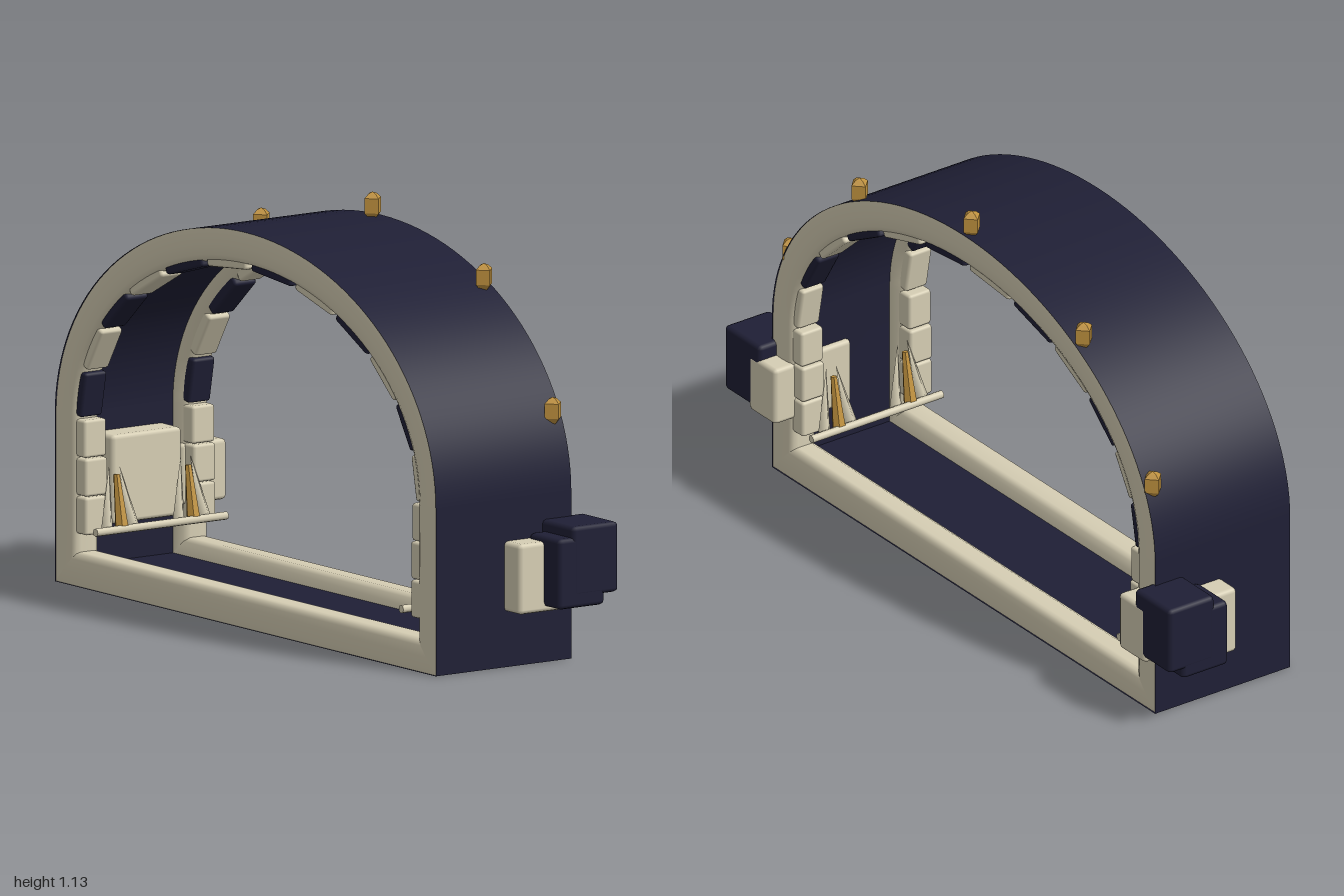
import * as THREE from 'three';
import { RoundedBoxGeometry } from 'three/addons/geometries/RoundedBoxGeometry.js';

const material = (name, color, extra = {}) => {
  const m = new THREE.MeshStandardMaterial({ color, ...extra });
  m.name = name;
  return m;
};

export function createModel() {
  const model = new THREE.Group();
  const navy = material('navy', 0x1f1f35, { side: THREE.DoubleSide });
  const cream = material('cream', 0xd6ceb4, { side: THREE.DoubleSide });
  const gold = material('gold', 0xc0923f, { flatShading: true });

  const FRONT = 0.25, BACK = -0.195, SPRING = 0.45, RX = 0.86, RY = 0.62;

  const add = (name, geometry, mat, parent = model) => {
    const mesh = new THREE.Mesh(geometry, mat);
    mesh.name = name;
    parent.add(mesh);
    return mesh;
  };

  // Gate outline shrunk by o: legs and elliptical arch, or the straight sill
  const archRun = (o) => {
    const pts = [[RX - o, o]];
    for (let i = 0; i <= 64; i++) {
      const t = (i / 64) * Math.PI;
      pts.push([(RX - o) * Math.cos(t), SPRING + (RY - o) * Math.sin(t)]);
    }
    pts.push([-(RX - o), o]);
    return pts;
  };
  const sillRun = (o) => [[-(RX - o), o], [RX - o, o]];

  // Sweeps a section of [inset, z] points along a run of the outline
  const sweep = (section, run) => {
    const rows = section.map(([o, z]) => run(o).map(([x, y]) => [x, y, z]));
    const n = rows[0].length, index = [];
    for (let r = 0; r < rows.length - 1; r++) {
      for (let i = 0; i < n - 1; i++) {
        const a = r * n + i, b = a + n;
        index.push(a, a + 1, b, b, a + 1, b + 1);
      }
    }
    const g = new THREE.BufferGeometry();
    g.setAttribute('position', new THREE.Float32BufferAttribute(rows.flat(2), 3));
    g.setIndex(index);
    g.computeVertexNormals();
    return g;
  };

  // Shell skins and the softly domed trims at both ends
  const trim = [[0.0005, 0.041], [0.015, 0.044], [0.045, 0.045], [0.072, 0.043], [0.086, 0.036],
    [0.09, 0.024], [0.09, -0.02], [0.08, -0.036], [0.045, -0.045]];
  const zMid = [FRONT - 0.045, BACK + 0.045];
  for (const [part, run] of [['Arch', archRun], ['Sill', sillRun]]) {
    add('outer' + part, sweep([[0, BACK], [0, FRONT]], run), navy);
    add('inner' + part, sweep([[0.045, FRONT - 0.09], [0.045, BACK + 0.09]], run), navy);
    add('frontTrim' + part, sweep(trim.map(([o, d]) => [o, zMid[0] + d]), run), cream);
    add('backTrim' + part, sweep(trim.map(([o, d]) => [o, zMid[1] - d]).reverse(), run), cream);
  }

  // Chamfered box given by its extents
  const box = (name, mat, [x0, x1], [y0, y1], [z0, z1], r = 0.012) => {
    const mesh = add(name, new RoundedBoxGeometry(x1 - x0, y1 - y0, z1 - z0, 1, r), mat);
    mesh.position.set((x0 + x1) / 2, (y0 + y1) / 2, (z0 + z1) / 2);
    return mesh;
  };
  const sided = (s, a, b) => (s > 0 ? [a, b] : [-b, -a]);

  // Alternating lining blocks around the inside of each trim
  const COUNT = 12, INSET = 0.082;
  const onArch = (t) => new THREE.Vector2((RX - INSET) * Math.cos(t), SPRING + (RY - INSET) * Math.sin(t));
  for (const z of zMid) {
    for (let i = 0; i < COUNT; i++) {
      const step = Math.PI / COUNT;
      const a = onArch((i + 0.06) * step), b = onArch((i + 0.94) * step);
      const block = add('liningBlock', new RoundedBoxGeometry(a.distanceTo(b), 0.045, 0.072, 1, 0.008),
        i % 2 ? navy : cream);
      block.position.set((a.x + b.x) / 2, (a.y + b.y) / 2, z);
      block.rotation.z = Math.atan2(b.y - a.y, b.x - a.x);
    }
  }

  for (const s of [1, -1]) {
    for (const z of zMid) {
      // Stacked pillar blocks
      for (let i = 0; i < 3; i++) {
        const y = 0.14 + i * 0.104;
        box('pillarBlock', cream, sided(s, i === 2 ? 0.737 : 0.732, 0.81), [y, y + 0.102], [z - 0.037, z + 0.036], 0.008);
      }
      // Gold spike between two cream fins, leaning on the pillar
      const spike = new THREE.Group();
      spike.name = 'spike';
      const core = add('spikeCore', new THREE.CylinderGeometry(0.009, 0.02, 0.15, 6), gold, spike);
      core.position.y = 0.075;
      for (const d of [-1, 1]) {
        const fin = add('spikeFin', new THREE.ConeGeometry(0.02, 0.18, 4), cream, spike);
        fin.position.set(0.008 * s, 0.088, d * 0.03);
        fin.rotation.x = -d * 0.16;
      }
      spike.position.set(s * 0.7, 0.15, z > 0 ? 0.145 : -0.09);
      spike.rotation.z = -s * 0.17;
      model.add(spike);
    }

    // Rod along the wall
    const rod = add('wallRod', new THREE.CylinderGeometry(0.011, 0.011, 0.43, 8), cream);
    rod.rotation.x = Math.PI / 2;
    rod.position.set(s * 0.69, 0.155, 0.025);

    // Side housings
    box('frontHousing', cream, sided(s, 0.8, 0.93), [0.15, 0.34], [-0.13, 0.025]);
    box('rearBracket', cream, sided(s, 0.77, 0.89), [0.18, 0.345], [-0.251, -0.1]);
    box('upperHousing', navy, sided(s, 0.84, 1), [0.195, 0.385], [-0.25, -0.1]);
    box('lowerHousing', navy, sided(s, 0.86, 0.999), [0.165, 0.355], [-0.205, -0.055]);
  }

  // Box on the inner wall of one side
  box('wallBox', cream, [-0.83, -0.737], [0.16, 0.4], [-0.08, 0.15]);

  // Gold beacons over the back edge
  const profile = [[0, -0.037], [0.014, -0.032], [0.027, -0.018], [0.027, 0.022], [0.014, 0.033], [0, 0.038]]
    .map(([x, y]) => new THREE.Vector2(x, y));
  for (const [x, y] of [[0, 1.097], [0.503, 0.979], [-0.503, 0.979], [0.813, 0.664], [-0.813, 0.664]]) {
    add('beacon', new THREE.LatheGeometry(profile, 4), gold).position.set(x, y, -0.168);
  }

  return model;
}
